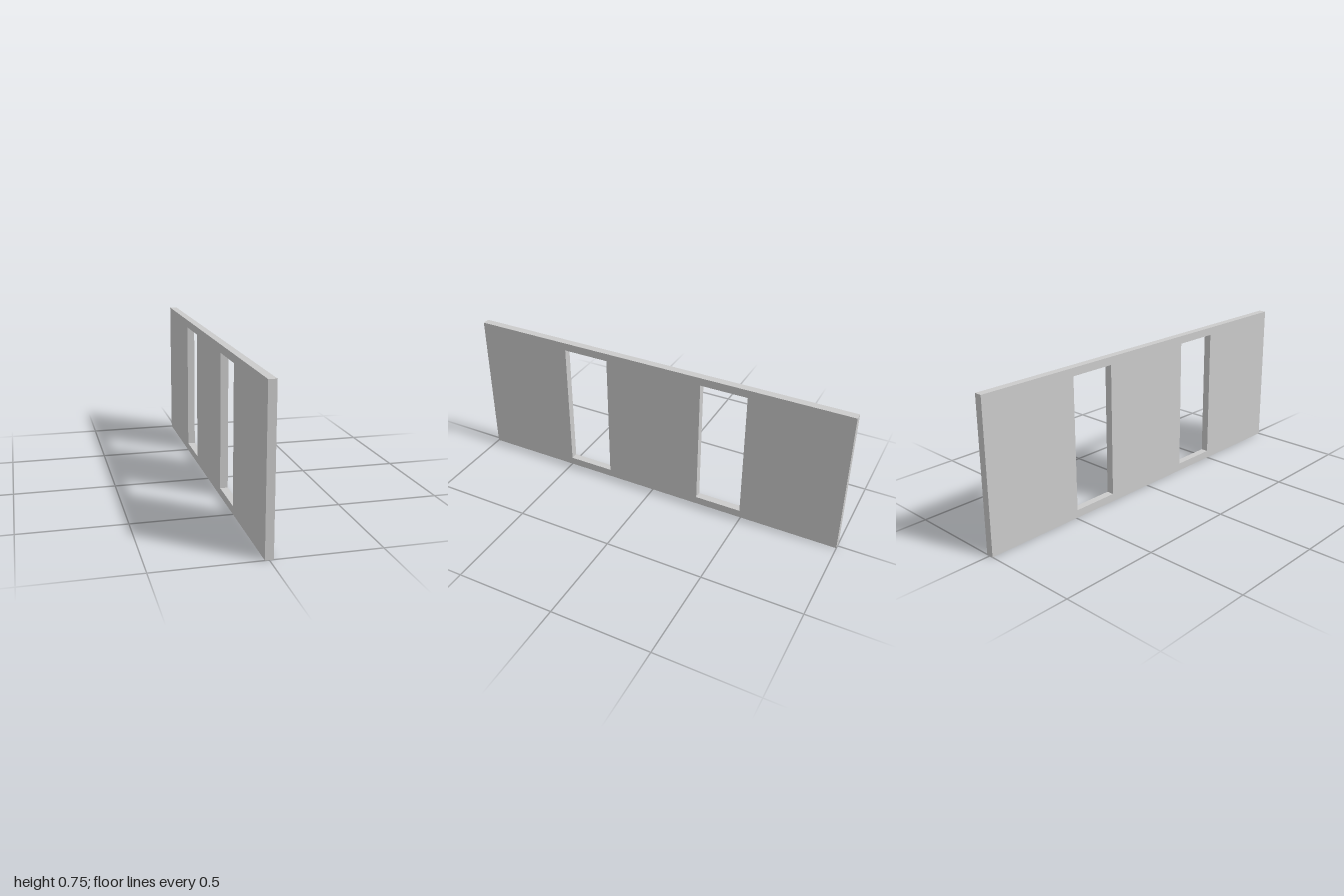
import * as THREE from 'three';

const LENGTH = 2, HEIGHT = 0.75, THICKNESS = 0.038;

// Traces an axis-aligned rectangle on a Shape or Path
function rectangle(path, x0, y0, x1, y1) {
  path.moveTo(x0, y0);
  path.lineTo(x1, y0);
  path.lineTo(x1, y1);
  path.lineTo(x0, y1);
  path.closePath();
  return path;
}

export function createModel() {
  const group = new THREE.Group();
  group.name = 'wallPanel';

  // Wall outline, drawn with its length along x
  const outline = rectangle(new THREE.Shape(), -LENGTH / 2, 0, LENGTH / 2, HEIGHT);

  // Two tall openings: start and end along the length
  for (const [start, end] of [[-0.492, -0.252], [0.258, 0.498]]) {
    outline.holes.push(rectangle(new THREE.Path(), start, 0.04, end, 0.71));
  }

  // Extrude the thickness, then turn the length onto z
  const geometry = new THREE.ExtrudeGeometry(outline, { depth: THICKNESS, bevelEnabled: false });
  geometry.translate(0, 0, -THICKNESS / 2);
  geometry.rotateY(-Math.PI / 2);

  const wall = new THREE.Mesh(geometry, new THREE.MeshStandardMaterial({ color: 0xcccccc }));
  wall.name = 'wallWithOpenings';
  group.add(wall);
  return group;
}
